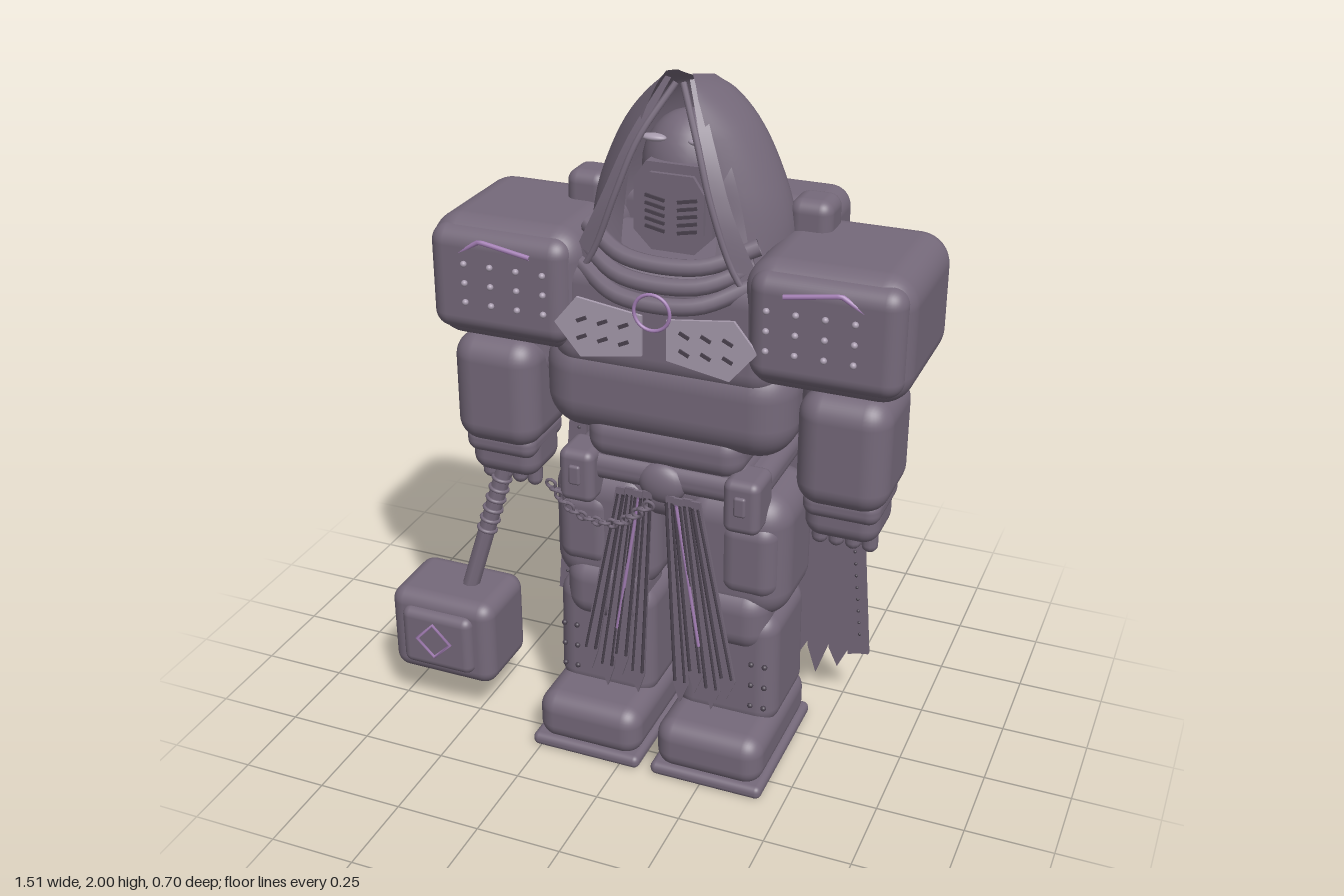
import * as THREE from 'three';
import { RoundedBoxGeometry } from 'three/addons/geometries/RoundedBoxGeometry.js';
import { ParametricGeometry } from 'three/addons/geometries/ParametricGeometry.js';

const mat = (name, color) => new THREE.MeshStandardMaterial({ name, color, side: THREE.DoubleSide });
const V = (x, y, z) => new THREE.Vector3(x, y, z);

export function createModel() {
  const armour = mat('armour', 0x75697a), pale = mat('paleMetal', 0xa79bad);
  const trim = mat('purpleTrim', 0xa47fb5), dark = mat('darkMetal', 0x4b434f);
  const model = new THREE.Group();
  const body = new THREE.Group();
  body.name = 'body';
  body.position.x = 0.08;
  model.add(body);

  const add = (name, geo, m = armour, x = 0, y = 0, z = 0, parent = body) => {
    const mesh = new THREE.Mesh(geo, m);
    mesh.name = name;
    mesh.position.set(x, y, z);
    parent.add(mesh);
    return mesh;
  };
  // Rounded block given by its x, y and z ranges; top scales the upper end
  const block = (name, [x0, x1], [y0, y1], [z0, z1], r, top = 1, m = armour, parent = body) => {
    const h = y1 - y0, geo = new RoundedBoxGeometry(Math.abs(x1 - x0), h, z1 - z0, 5, r);
    const p = geo.attributes.position;
    for (let i = 0; i < p.count; i++) {
      const k = 1 + (top - 1) * (p.getY(i) / h + 0.5);
      p.setX(i, p.getX(i) * k);
      p.setZ(i, p.getZ(i) * k);
    }
    return add(name, geo, m, (x0 + x1) / 2, (y0 + y1) / 2, (z0 + z1) / 2, parent);
  };
  const plate = (name, pts, z, depth, m = armour) => {
    const shape = new THREE.Shape(pts.map(([x, y]) => new THREE.Vector2(x, y)));
    return add(name, new THREE.ExtrudeGeometry(shape, { depth, bevelEnabled: false }), m, 0, 0, z);
  };
  const tube = (name, pts, r, m = armour, tension = 0.5, parent = body) =>
    add(name, new THREE.TubeGeometry(new THREE.CatmullRomCurve3(pts, false, 'catmullrom', tension), 20, r, 8), m, 0, 0, 0, parent);
  const bar = (name, w, h, d, m, x, y, z, turn = 0) => {
    const mesh = add(name, new THREE.BoxGeometry(w, h, d), m, x, y, z);
    mesh.rotation.z = turn;
    return mesh;
  };
  const ball = (name, r, x, y, z, m = armour, sx = 1, sy = 1, sz = 1) => {
    const mesh = add(name, new THREE.SphereGeometry(r, 24, 16), m, x, y, z);
    mesh.scale.set(sx, sy, sz);
    return mesh;
  };
  // Cloth strip between two edge curves
  const ribbon = (name, a, b) => {
    const ca = new THREE.CatmullRomCurve3(a), cb = new THREE.CatmullRomCurve3(b);
    add(name, new ParametricGeometry((u, v, t) => t.lerpVectors(ca.getPoint(v), cb.getPoint(v), u), 2, 16));
  };

  // Torso
  block('upperTorso', [-0.33, 0.33], [1.18, 1.52], [-0.17, 0.235], 0.08, 0.95);
  block('chest', [-0.36, 0.36], [0.99, 1.29], [-0.16, 0.235], 0.11);
  block('abdomen', [-0.23, 0.23], [0.92, 1.06], [-0.14, 0.22], 0.06);
  block('waist', [-0.24, 0.24], [0.84, 0.98], [-0.17, 0.2], 0.06);
  block('belt', [-0.29, 0.29], [0.85, 0.94], [-0.16, 0.215], 0.04);
  block('pelvis', [-0.25, 0.25], [0.73, 0.9], [-0.17, 0.17], 0.07);
  ball('buckle', 0.07, 0, 0.88, 0.2, armour, 1, 0.85, 0.5);

  // Collar and hanging ring
  for (let i = 0; i < 3; i++) {
    const y = 1.42 + i * 0.045, z = 0.245 - i * 0.025;
    tube('collar', [V(-0.24, y + 0.07, z - 0.06), V(-0.1, y + 0.015, z), V(0.1, y + 0.015, z), V(0.24, y + 0.07, z - 0.06)], 0.024);
  }
  add('ring', new THREE.TorusGeometry(0.05, 0.005, 8, 32), trim, 0, 1.415, 0.275);

  // Helmet
  ball('helmet', 0.13, 0, 1.73, 0.005, armour, 1, 1.17, 0.9);
  plate('faceplate', [[-0.06, 1.53], [0.06, 1.53], [0.11, 1.58], [0.11, 1.72], [0.075, 1.77], [-0.075, 1.77], [-0.11, 1.72], [-0.11, 1.58]], 0.06, 0.07);
  plate('mouthPanel', [[-0.05, 1.55], [0.05, 1.55], [0.09, 1.59], [0.09, 1.7], [0.06, 1.745], [-0.06, 1.745], [-0.09, 1.7], [-0.09, 1.59]], 0.13, 0.012);

  // Hood: open at the face, with a sloping open crown
  const outline = new THREE.CatmullRomCurve3([V(0.29, 1.42, -0.2), V(0.28, 1.6, -0.19), V(0.245, 1.72, -0.17), V(0.18, 1.85, -0.15), V(0.11, 1.93, -0.13), V(0.05, 1.97, -0.12)]);
  const opening = new THREE.CatmullRomCurve3([V(0.2, 0, 0.75), V(0.17, 0, 0.62), V(0.165, 0, 0.57), V(0.16, 0, 0.55), V(0.15, 0, 0.6), V(0.14, 0, 0.8)]);
  add('hood', new ParametricGeometry((u, v, t) => {
    const o = outline.getPoint(v), f = opening.getPoint(v);
    const angle = f.z + u * (Math.PI * 2 - 2 * f.z), c = Math.cos(angle);
    t.set(o.x * Math.sin(angle), o.y + 0.04 * c * v ** 4, -0.03 + c * (c > 0 ? f.x + 0.03 : -0.03 - o.z));
  }, 40, 24));

  for (const s of [-1, 1]) {
    const mx = pts => pts.map(([x, y, z]) => V(s * x, y, z));
    const flat = pts => pts.map(([x, y]) => [s * x, y]);

    // Eyes and mouth grille
    ball('eye', 0.035, s * 0.065, 1.825, 0.1, pale, 1, 0.3, 0.5);
    for (let i = 0; i < 5; i++) bar('grilleBar', 0.055, 0.009, 0.008, dark, s * 0.045, 1.595 + i * 0.021, 0.143, s * 0.2);

    // Hood hem and draped lapels
    ribbon('hoodHem', mx([[0.025, 1.98, 0.08], [0.09, 1.83, 0.16], [0.14, 1.68, 0.195], [0.2, 1.53, 0.2], [0.27, 1.43, 0.19]]),
      mx([[0.045, 1.98, 0.07], [0.12, 1.83, 0.145], [0.18, 1.68, 0.18], [0.25, 1.53, 0.185], [0.3, 1.43, 0.175]]));
    ribbon('hoodLapel', mx([[0.04, 1.96, 0.07], [0.11, 1.78, 0.13], [0.13, 1.62, 0.15], [0.13, 1.47, 0.18]]),
      mx([[0.05, 1.96, 0.06], [0.15, 1.78, 0.11], [0.2, 1.62, 0.13], [0.24, 1.47, 0.17]]));
    tube('hoodCord', mx([[0.01, 1.97, 0.085], [0.08, 1.84, 0.165], [0.13, 1.7, 0.2], [0.19, 1.54, 0.205], [0.26, 1.43, 0.2]]), 0.009);

    // Chest plates with slots
    plate('chestPlate', flat([[0.035, 1.28], [0.21, 1.25], [0.285, 1.34], [0.22, 1.42], [0.035, 1.395]]), 0.253, 0.009, pale);
    for (let i = 0; i < 6; i++) bar('slot', 0.03, 0.01, 0.008, dark, s * (0.085 + (i % 3) * 0.06), 1.31 + Math.floor(i / 3) * 0.05, 0.262, -s * 0.45);

    // Shoulder pads with chevrons and studs
    block('shoulderPad', [s * 0.225, s * 0.675], [1.23, 1.58], [-0.205, 0.255], 0.085);
    block('shoulderRim', [s * 0.25, s * 0.66], [1.26, 1.56], [0.15, 0.265], 0.05);
    tube('chevron', mx([[0.61, 1.465, 0.255], [0.5, 1.533, 0.262], [0.35, 1.51, 0.266]]), 0.007, trim, 0);
    for (let i = 0; i < 12; i++) ball('stud', 0.009, s * (0.31 + (i % 4) * 0.077), 1.36 + Math.floor(i / 4) * 0.055, 0.277, pale);

    // Collar pods and back pods with vents
    block('collarPod', [s * 0.26, s * 0.38], [1.5, 1.66], [-0.145, -0.02], 0.035);
    block('backPod', [s * 0.075, s * 0.355], [1.14, 1.62], [-0.345, -0.12], 0.06);
    for (let i = 0; i < 7; i++) {
      const vent = add('vent', new THREE.CapsuleGeometry(0.007, 0.13, 4, 8), armour, s * 0.215, 1.22 + i * 0.045, -0.345);
      vent.rotation.z = Math.PI / 2 + s * 0.12;
    }

    // Arms and fists
    block('upperArm', [s * 0.36, s * 0.6], [1.08, 1.32], [-0.06, 0.17], 0.08);
    block('elbow', [s * 0.39, s * 0.59], [1.0, 1.14], [-0.07, 0.1], 0.06);
    block('forearm', [s * 0.375, s * 0.63], [0.9, 1.23], [-0.05, 0.235], 0.07);
    block('cuff', [s * 0.395, s * 0.61], [0.86, 0.94], [-0.02, 0.205], 0.035);
    block('fist', [s * 0.395, s * 0.605], [0.79, 0.94], [0.0, 0.19], 0.05);
    for (let i = 0; i < 4; i++) add('finger', new THREE.CapsuleGeometry(0.023, 0.05, 6, 10), armour, s * (0.43 + i * 0.047), 0.795, 0.12);

    // Legs and boots
    block('thigh', [s * 0.035, s * 0.355], [0.48, 0.87], [-0.115, 0.195], 0.09);
    block('thighPlate', [s * 0.16, s * 0.33], [0.56, 0.8], [0.05, 0.205], 0.05);
    block('knee', [s * 0.06, s * 0.31], [0.38, 0.58], [0.0, 0.215], 0.07);
    block('shin', [s * 0.035, s * 0.34], [0.13, 0.5], [-0.1, 0.2], 0.06, 0.97);
    block('boot', [s * 0.025, s * 0.345], [0.02, 0.175], [-0.105, 0.34], 0.055);
    block('sole', [s * 0.018, s * 0.355], [0, 0.04], [-0.115, 0.35], 0.018);
    for (let i = 0; i < 6; i++) ball('shinStud', 0.008, s * (0.27 + (i % 2) * 0.04), 0.21 + Math.floor(i / 2) * 0.07, 0.2, dark);

    // Belt pouches
    block('pouch', [s * 0.19, s * 0.295], [0.79, 0.95], [0.12, 0.25], 0.025);
    block('pouchClasp', [s * 0.225, s * 0.26], [0.85, 0.91], [0.24, 0.258], 0.008);

    // Hanging cloth strips, each edged with cords
    for (let i = 0; i < 4; i++) {
      const t = 0.02 + i * 0.026, b = 0.045 + i * 0.048, low = 0.25 + (i % 2) * 0.05, z = 0.222 + (i % 2) * 0.006;
      plate('clothStrip', flat([[t, 0.86], [t + 0.026, 0.86], [b + 0.046, low], [b + 0.02, low - 0.065], [b, low]]), z, 0.008);
      tube('stripCord', [V(s * (t + 0.004), 0.84, z + 0.01), V(s * (b + 0.006), low + 0.01, z + 0.01)], 0.005, dark);
      tube('stripFold', [V(s * (t + 0.02), 0.84, z + 0.01), V(s * (b + 0.036), low + 0.01, z + 0.01)], 0.004, dark);
    }
    tube('stripPiping', [V(s * 0.055, 0.84, 0.238), V(s * 0.125, 0.4, 0.238)], 0.005, trim);

    // Cape panel in ragged strips
    const tips = [0.13, 0.1, 0.14, 0.1, 0.13, 0.2], n = tips.length;
    tips.forEach((tip, i) => {
      const top = k => 0.1 + 0.3 * k / n, bottom = k => 0.13 + 0.38 * k / n;
      plate('capeStrip', flat([[top(i), 1.54], [top(i + 1), 1.54], [bottom(i + 1), 0.205], [bottom(i + 0.45), tip], [bottom(i), 0.19]]), -0.208 + (i % 2) * 0.012, 0.014);
    });
    for (let i = 0; i < 18; i++) ball('capeStud', 0.005, s * (0.48 - i * 0.004), 0.27 + i * 0.04, -0.182, dark);
  }

  // Belt chain
  const chain = new THREE.CatmullRomCurve3([V(-0.33, 0.82, 0.22), V(-0.24, 0.77, 0.26), V(-0.12, 0.755, 0.255), V(-0.02, 0.83, 0.25)]);
  for (let i = 0; i <= 16; i++) {
    const p = chain.getPointAt(i / 16);
    add('chainLink', new THREE.TorusGeometry(0.014, 0.005, 6, 12), armour, p.x, p.y, p.z).rotation.x = i % 2 ? 1.2 : 0.2;
  }

  // Hammer
  const hammer = new THREE.Group();
  hammer.name = 'hammer';
  model.add(hammer);
  block('hammerHead', [-0.76, -0.425], [0.125, 0.4], [0.06, 0.305], 0.045, 1, armour, hammer);
  block('hammerFace', [-0.71, -0.48], [0.17, 0.36], [0.27, 0.33], 0.027, 1, armour, hammer);
  const diamond = add('diamond', new THREE.TorusGeometry(0.055, 0.006, 6, 4), trim, -0.6, 0.27, 0.332, hammer);
  diamond.scale.z = 0.8;
  const low = V(-0.555, 0.37, 0.18), high = V(-0.42, 0.88, 0.11);
  tube('handle', [low, high], 0.026, armour, 0.5, hammer);
  for (let i = 0; i < 6; i++) {
    const p = low.clone().lerp(high, 0.42 + i * 0.065);
    const wrap = add('gripWrap', new THREE.TorusGeometry(0.026, 0.006, 8, 20), armour, p.x, p.y, p.z, hammer);
    wrap.lookAt(high.clone().addScaledVector(high.clone().sub(low), 2));
  }
  return model;
}
